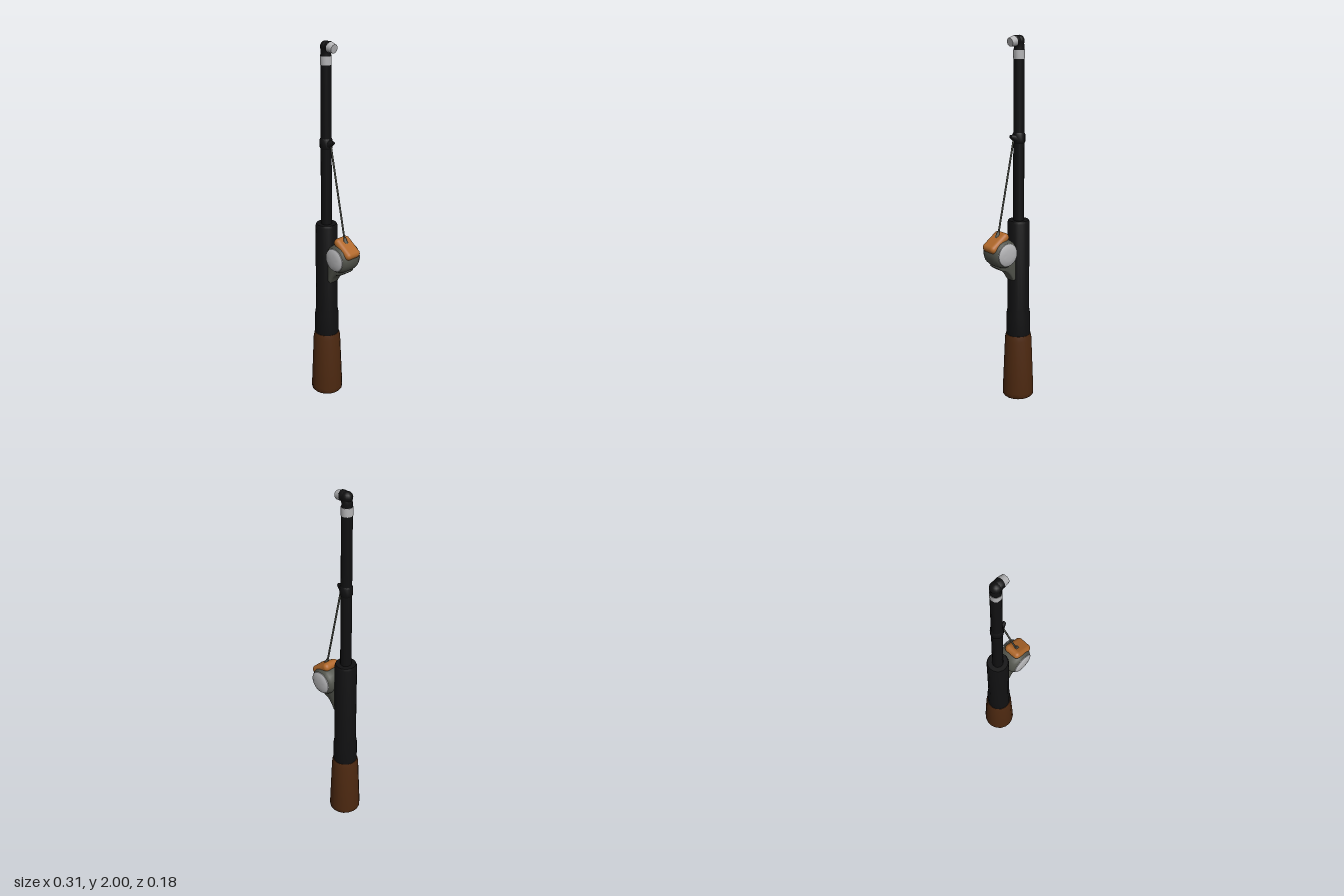
import * as THREE from 'three';
import { toCreasedNormals } from 'three/addons/utils/BufferGeometryUtils.js';
import { RoundedBoxGeometry } from 'three/addons/geometries/RoundedBoxGeometry.js';

const AXIS = -0.066; // x of the rod's centre line
const V = (x, y, z = 0) => new THREE.Vector3(x, y, z);

function material(name, color) {
  const m = new THREE.MeshStandardMaterial({ color });
  m.name = name;
  return m;
}

// turned part from [radius, height] pairs, bottom to top
function turned(points, segments = 18) {
  const g = new THREE.LatheGeometry(points.map(([r, y]) => new THREE.Vector2(r, y)), segments);
  return toCreasedNormals(g, 0.7);
}

// tapered round bar between two points
function bar(a, b, ra, rb, segments = 12) {
  const d = b.clone().sub(a);
  const g = new THREE.CylinderGeometry(rb, ra, d.length(), segments);
  g.applyQuaternion(new THREE.Quaternion().setFromUnitVectors(V(0, 1), d.clone().normalize()));
  const c = a.clone().add(b).multiplyScalar(0.5);
  return g.translate(c.x, c.y, c.z);
}

export function createModel() {
  const model = new THREE.Group();
  model.name = 'fishingRod';
  const black = material('black', 0x101011);
  const brown = material('brown', 0x4c2810);
  const grey = material('greyGreen', 0x50524a);
  const orange = material('orange', 0xb0682a);
  const silver = material('silver', 0xb4b4b6);

  const add = (name, geometry, mat, parent = model) => {
    const mesh = new THREE.Mesh(geometry, mat);
    mesh.name = name;
    parent.add(mesh);
    return mesh;
  };

  // Rod, turned around its own centre line
  const rod = new THREE.Group();
  rod.name = 'rod';
  rod.position.x = AXIS;
  model.add(rod);
  add('handle', turned([[0, 0], [0.08, 0], [0.087, 0.008], [0.088, 0.03],
    [0.075, 0.345], [0.069, 0.372], [0, 0.372]]), brown, rod);
  add('grip', turned([[0, 0.365], [0.067, 0.365], [0.066, 0.49], [0.06, 0.525],
    [0.06, 1.015], [0.055, 1.028], [0, 1.028]]), black, rod);
  add('pole', turned([[0.03, 1.02], [0.028, 1.93]], 14), black, rod);
  add('poleBand', turned([[0.027, 1.88], [0.03, 1.88], [0.03, 1.924], [0.027, 1.924]], 14), silver, rod);
  add('guideRing', turned([[0.028, 1.442], [0.034, 1.452], [0.034, 1.492], [0.028, 1.503]], 14), black, rod);
  add('lineGuide', bar(V(0.02, 1.472), V(0.058, 1.485), 0.024, 0.008), black, rod);

  // Bent tip with its pale end piece
  const bend = new THREE.CatmullRomCurve3([
    V(0, 1.915), V(0, 1.945), V(0.008, 1.967), V(0.022, 1.972), V(0.032, 1.97)]);
  add('tipElbow', new THREE.TubeGeometry(bend, 12, 0.027, 14), black, rod);
  add('elbowCrown', new THREE.SphereGeometry(0.029, 14, 10).translate(0, 1.97, 0), black, rod);
  add('tipEnd', bar(V(0.03, 1.97), V(0.061, 1.964), 0.0275, 0.023, 14), silver, rod);

  // Reel body: a barrel lying along z, with a domed plate on each side
  const reel = new THREE.Group();
  reel.name = 'reel';
  reel.position.set(0.062, 0.868, 0);
  model.add(reel);
  const barrel = turned([[0.05, -0.068], [0.064, -0.063], [0.075, -0.047], [0.08, -0.022],
    [0.08, 0.022], [0.075, 0.047], [0.064, 0.063], [0.05, 0.068]], 24);
  add('reelBody', barrel.rotateX(Math.PI / 2), grey, reel);
  for (const side of [1, -1]) {
    const plate = turned([[0.064, 0.06], [0.062, 0.067], [0.052, 0.073], [0.03, 0.077], [0, 0.078]], 24);
    add(side > 0 ? 'frontPlate' : 'backPlate', plate.rotateX(side * Math.PI / 2), silver, reel);
  }

  // Orange cap, tilted outward
  const cap = add('reelCap', new RoundedBoxGeometry(0.138, 0.046, 0.098, 4, 0.022), orange, reel);
  cap.position.set(0.03, 0.062, 0);
  cap.rotation.z = -0.61;

  // Foot joining the reel to the grip
  const foot = new THREE.Shape();
  foot.moveTo(-0.04, 0.715);
  foot.lineTo(-0.01, 0.709);
  foot.quadraticCurveTo(0.015, 0.755, 0.04, 0.768);
  foot.quadraticCurveTo(0.075, 0.778, 0.1, 0.8);
  foot.lineTo(0.06, 0.87);
  foot.lineTo(-0.04, 0.87);
  const footGeometry = new THREE.ExtrudeGeometry(foot, {
    depth: 0.046, bevelThickness: 0.011, bevelSize: 0.009, bevelSegments: 3, curveSegments: 8 });
  add('reelFoot', toCreasedNormals(footGeometry.translate(0, 0, -0.023), 0.8), grey);

  // Line from the cap to the guide
  add('line', bar(V(0.079, 0.95), V(-0.032, 1.475), 0.005, 0.005, 8), grey);
  add('lineOutlet', bar(V(0.083, 0.945), V(0.075, 0.985), 0.017, 0.006), grey);

  return model;
}
